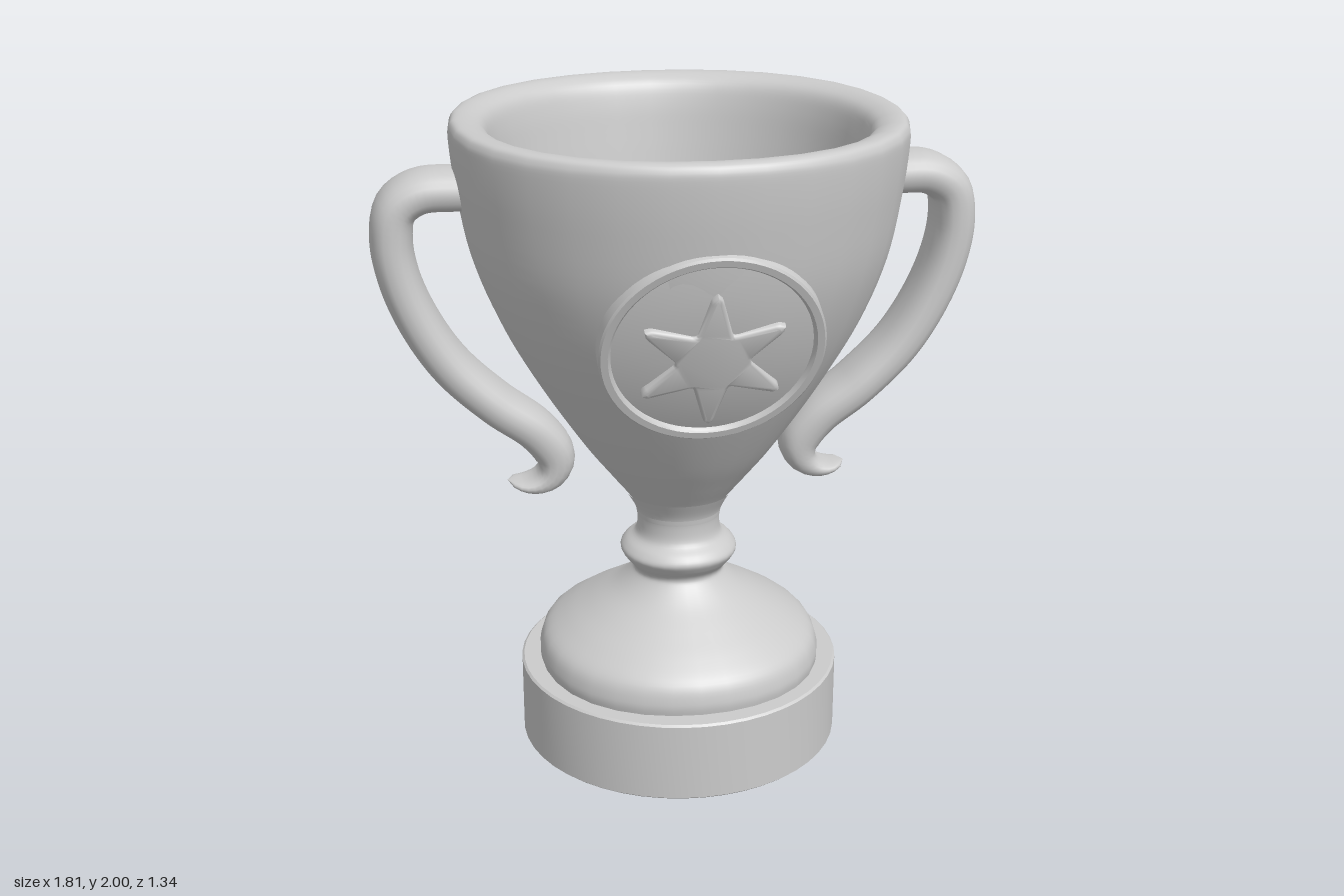
import * as THREE from 'three';
import { toCreasedNormals } from 'three/addons/utils/BufferGeometryUtils.js';

const material = new THREE.MeshStandardMaterial({ color: 0xcccccc });
const SIDES = 32;

function part(name, geometry) {
  const mesh = new THREE.Mesh(geometry, material);
  mesh.name = name;
  return mesh;
}

const vectors = (pairs) => pairs.map(([x, y]) => new THREE.Vector2(x, y));

// Smooth lathe through a few profile points, made very slightly fuller on the diagonals
function turned(pairs, steps) {
  const geometry = new THREE.LatheGeometry(new THREE.SplineCurve(vectors(pairs)).getPoints(steps), SIDES);
  const position = geometry.attributes.position;
  for (let i = 0; i < position.count; i++) {
    const x = position.getX(i), z = position.getZ(i);
    const fuller = 1 + 0.012 * (1 - Math.cos(4 * Math.atan2(z, x)));
    position.setXYZ(i, x * fuller, position.getY(i), z * fuller);
  }
  return geometry;
}

// Planar sweep with a rounded-oblong section that thins towards the curled tip
function handleGeometry() {
  const path = new THREE.CatmullRomCurve3([
    [0.56, 1.79], [0.66, 1.796], [0.76, 1.79], [0.825, 1.745], [0.843, 1.65], [0.825, 1.53],
    [0.77, 1.39], [0.685, 1.255], [0.56, 1.13], [0.435, 1.03], [0.382, 0.95],
    [0.391, 0.897], [0.425, 0.867], [0.475, 0.858], [0.53, 0.871],
  ].map(([x, y]) => new THREE.Vector3(x, y, 0)), false, 'centripetal');
  const rings = 72, around = 20, positions = [], index = [];
  const round = (v) => Math.sign(v) * Math.pow(Math.abs(v), 0.82);
  for (let i = 0; i <= rings; i++) {
    const u = i / rings;
    const p = path.getPointAt(u), t = path.getTangentAt(u);
    const thin = THREE.MathUtils.smoothstep(u, 0.84, 0.99);
    const narrow = THREE.MathUtils.smoothstep(u, 0.65, 1);
    const close = Math.sqrt(Math.max(0, 1 - Math.pow(Math.max(0, (u - 0.94) / 0.06), 2)));
    const a = THREE.MathUtils.lerp(0.063, 0.016, thin) * close;
    const b = THREE.MathUtils.lerp(0.108, 0.07, narrow) * close;
    for (let j = 0; j < around; j++) {
      const angle = (j / around) * Math.PI * 2;
      const n = a * round(Math.cos(angle));
      positions.push(p.x - t.y * n, p.y + t.x * n, b * round(Math.sin(angle)));
      if (i < rings) {
        const k = (j + 1) % around, r = i * around, s = r + around;
        index.push(r + j, r + k, s + j, r + k, s + k, s + j);
      }
    }
  }
  const geometry = new THREE.BufferGeometry();
  geometry.setAttribute('position', new THREE.Float32BufferAttribute(positions, 3));
  geometry.setIndex(index);
  geometry.computeVertexNormals();
  return geometry;
}

// Six-pointed star with softened tips and a rounded edge
function starGeometry() {
  const corners = [];
  for (let i = 0; i < 12; i++) {
    const r = i % 2 ? 0.084 : 0.22;
    const angle = Math.PI / 2 + (i * Math.PI) / 6;
    corners.push([r * Math.cos(angle), r * Math.sin(angle)]);
  }
  const shape = new THREE.Shape();
  const between = (p, q, f) => [p[0] + (q[0] - p[0]) * f, p[1] + (q[1] - p[1]) * f];
  corners.forEach((c, i) => {
    const before = between(c, corners[(i + 11) % 12], 0.16);
    const after = between(c, corners[(i + 1) % 12], 0.16);
    if (i === 0) shape.moveTo(...before);
    else shape.lineTo(...before);
    shape.quadraticCurveTo(...c, ...after);
  });
  shape.closePath();
  return toCreasedNormals(new THREE.ExtrudeGeometry(shape, {
    depth: 0.03, bevelThickness: 0.012, bevelSize: 0.012, bevelSegments: 3, curveSegments: 4,
  }), 0.9);
}

export function createModel() {
  const model = new THREE.Group();
  model.name = 'trophyCup';

  // Drum base with a slightly eased edge
  model.add(part('base', toCreasedNormals(new THREE.LatheGeometry(vectors([
    [0, 0], [0.496, 0], [0.503, 0.006], [0.503, 0.249], [0.496, 0.255], [0, 0.255],
  ]), 48), 0.6)));

  // Domed foot, collar and stem
  model.add(part('stem', turned([
    [0.44, 0.25], [0.443, 0.29], [0.424, 0.345], [0.362, 0.395], [0.282, 0.445], [0.202, 0.495],
    [0.152, 0.54], [0.143, 0.565], [0.167, 0.597], [0.182, 0.625], [0.167, 0.65],
    [0.135, 0.677], [0.128, 0.72], [0.135, 0.765], [0.165, 0.82],
  ], 70)));

  // Bowl: outer wall, rounded rim, hollow inside with a shallow floor
  model.add(part('bowl', turned([
    [0.13, 0.74], [0.145, 0.795], [0.213, 0.885], [0.3, 1.0], [0.43, 1.2], [0.54, 1.4],
    [0.615, 1.6], [0.652, 1.8], [0.667, 1.94], [0.663, 1.983], [0.643, 1.999], [0.6, 1.995],
    [0.563, 1.97], [0.543, 1.91], [0.525, 1.8], [0.493, 1.6], [0.447, 1.42], [0.378, 1.28],
    [0.25, 1.19], [0.12, 1.155], [0, 1.15],
  ], 100)));

  // Pair of handles
  const handle = handleGeometry();
  for (const [name, turn] of [['leftHandle', 0], ['rightHandle', Math.PI]]) {
    const mesh = part(name, handle);
    mesh.rotation.y = turn;
    mesh.position.z = -0.018;
    model.add(mesh);
  }

  // Tilted medallion: thin rim around a faintly domed disc with a raised star
  const medallion = new THREE.Group();
  medallion.name = 'medallion';
  medallion.position.set(0.008, 1.447, 0.55);
  medallion.rotation.x = 0.353;
  const disc = part('medallionDisc', toCreasedNormals(new THREE.LatheGeometry(vectors([
    [0.318, -0.08], [0.318, -0.006], [0.312, 0], [0.292, 0], [0.286, -0.006], [0.283, -0.014],
    [0.2, 0.004], [0.1, 0.013], [0, 0.014],
  ]), 64), 0.6));
  disc.rotation.x = Math.PI / 2;
  const star = part('star', starGeometry());
  star.position.set(-0.003, -0.017, -0.016);
  medallion.add(disc, star);
  model.add(medallion);

  return model;
}
